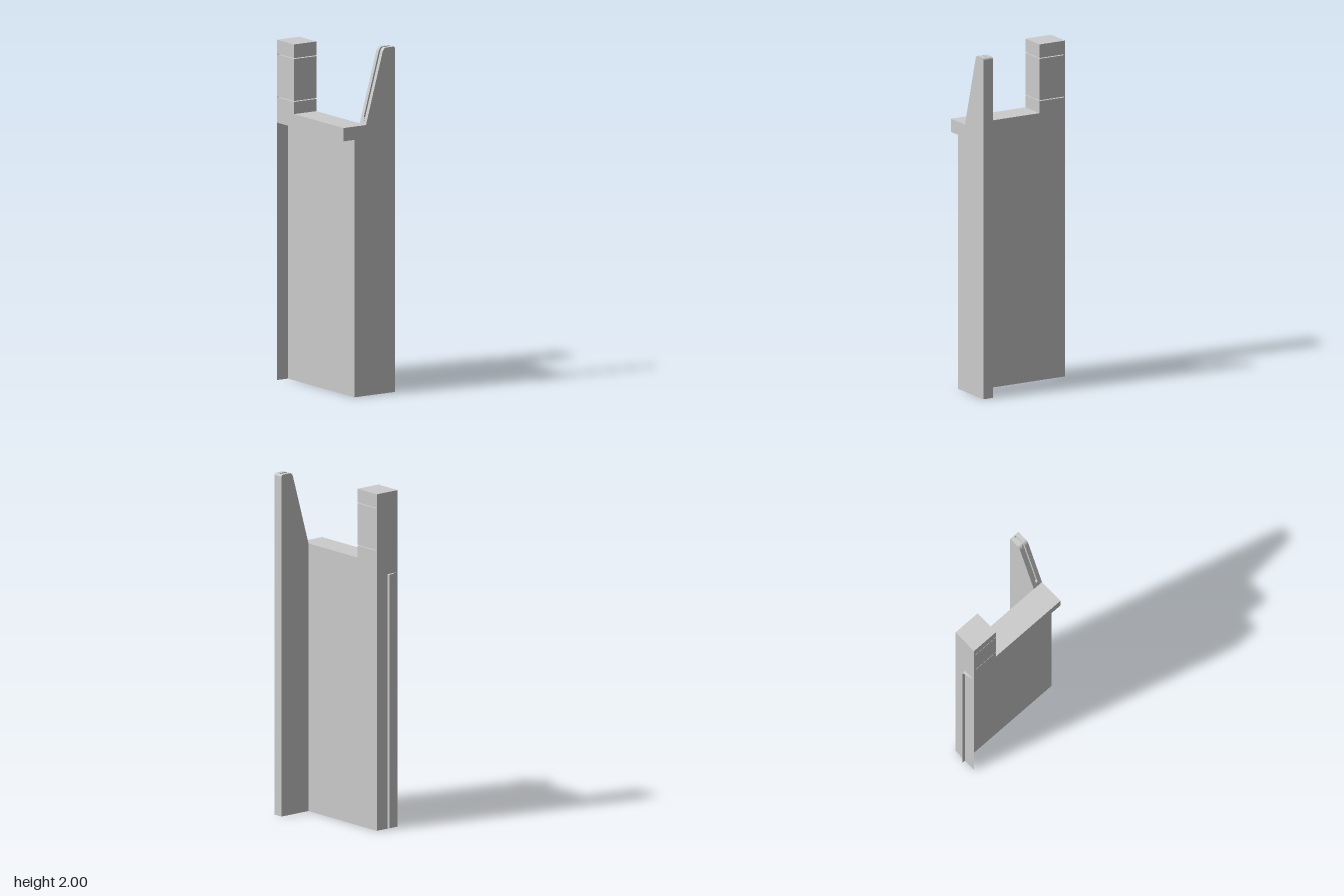
import * as THREE from 'three';

const material = new THREE.MeshStandardMaterial({ color: 0xcccccc, flatShading: true, side: THREE.DoubleSide });
const X0 = -0.178, XB = -0.102, X1 = -0.0235, X2 = 0.177; // outer lip, wall back, wall face, plate edge
const BACK = -0.323, PLATE = 0.28, FRONT = 0.343, LEDGE = 1.49, TOP = 1.567;

function add(parent, name, geometry) {
  const mesh = new THREE.Mesh(geometry, material);
  mesh.name = name;
  parent.add(mesh);
}

function block(x0, x1, y0, y1, z0, z1) {
  return new THREE.BoxGeometry(x1 - x0, y1 - y0, z1 - z0).translate((x0 + x1) / 2, (y0 + y1) / 2, (z0 + z1) / 2);
}

// Upright walls along an x/z path, from the ground to the ledge, open above and below
function walls(path) {
  const positions = [];
  for (let i = 0; i + 1 < path.length; i++) {
    const [ax, az] = path[i], [bx, bz] = path[i + 1];
    positions.push(ax, 0, az, bx, 0, bz, bx, LEDGE, bz);
    positions.push(ax, 0, az, bx, LEDGE, bz, ax, LEDGE, az);
  }
  const geometry = new THREE.BufferGeometry();
  geometry.setAttribute('position', new THREE.Float32BufferAttribute(positions, 3));
  geometry.computeVertexNormals();
  return geometry;
}

// Upper front plate outline; the slotted one is cut in along its slope and top
function plateShape(slotted) {
  const s = new THREE.Shape();
  s.moveTo(X1, LEDGE);
  s.lineTo(X2, LEDGE);
  s.lineTo(X2, 1.985);
  s.quadraticCurveTo(X2, 1.997, 0.166, 2);
  if (slotted) {
    s.lineTo(0.166, 1.98);
    s.lineTo(0.115, 1.98);
    s.quadraticCurveTo(0.108, 1.98, 0.103, 1.955);
    s.lineTo(0.002, 1.606);
    s.lineTo(-0.015, 1.606);
  } else {
    s.lineTo(0.115, 2);
    s.quadraticCurveTo(0.098, 2, 0.09, 1.972);
  }
  s.lineTo(X1, TOP);
  return s;
}

export function createModel() {
  const model = new THREE.Group();
  model.name = 'slottedPanel';

  // Hollow L-shaped body, open at the bottom, closed by an overhanging ledge
  add(model, 'bodyShell', walls([
    [XB, FRONT], [X2, FRONT], [X2, PLATE], [X1, PLATE], [X1, BACK], [XB, BACK], [XB, FRONT],
  ]));
  add(model, 'ledge', block(X0, X1, LEDGE, TOP, BACK, FRONT));

  // Upper front plate in three layers, the middle one slotted
  const plate = new THREE.Group();
  plate.name = 'frontPlate';
  model.add(plate);
  const z = [PLATE, 0.305, 0.318, FRONT];
  for (let i = 0; i < 3; i++) {
    const layer = new THREE.ExtrudeGeometry(plateShape(i === 1), {
      depth: z[i + 1] - z[i], bevelEnabled: false, curveSegments: 6,
    });
    add(plate, 'plateLayer', layer.translate(0, 0, z[i]));
  }

  // Rear post: stacked blocks parted by narrow slits, joined by a thin spine
  const post = new THREE.Group();
  post.name = 'rearPost';
  model.add(post);
  const gap = 0.0025, spine = BACK + 0.007;
  const cuts = [TOP, 1.64, 1.888, 1.97];
  for (let i = 0; i < 3; i++) {
    const low = cuts[i] + (i > 0 ? gap : 0), high = cuts[i + 1] - (i < 2 ? gap : 0);
    add(post, 'postBlock', block(X0, X1, low, high, spine, -0.153));
  }
  add(post, 'postSpine', block(X0, X1, TOP, 1.97, BACK, spine));

  // Rear flange: a sheet below the ledge with a narrow upright fin and a triangular cap
  const flange = new THREE.Group();
  flange.name = 'rearFlange';
  model.add(flange);
  const tip = -FRONT;
  add(flange, 'flangeWalls', walls([[X0, BACK], [XB, BACK], [XB, tip]]));
  const cap = new THREE.Shape([[X0, -BACK], [XB, -BACK], [XB, -tip]].map(([x, y]) => new THREE.Vector2(x, y)));
  add(flange, 'flangeCap', new THREE.ShapeGeometry(cap).rotateX(-Math.PI / 2).translate(0, LEDGE, 0));

  return model;
}
